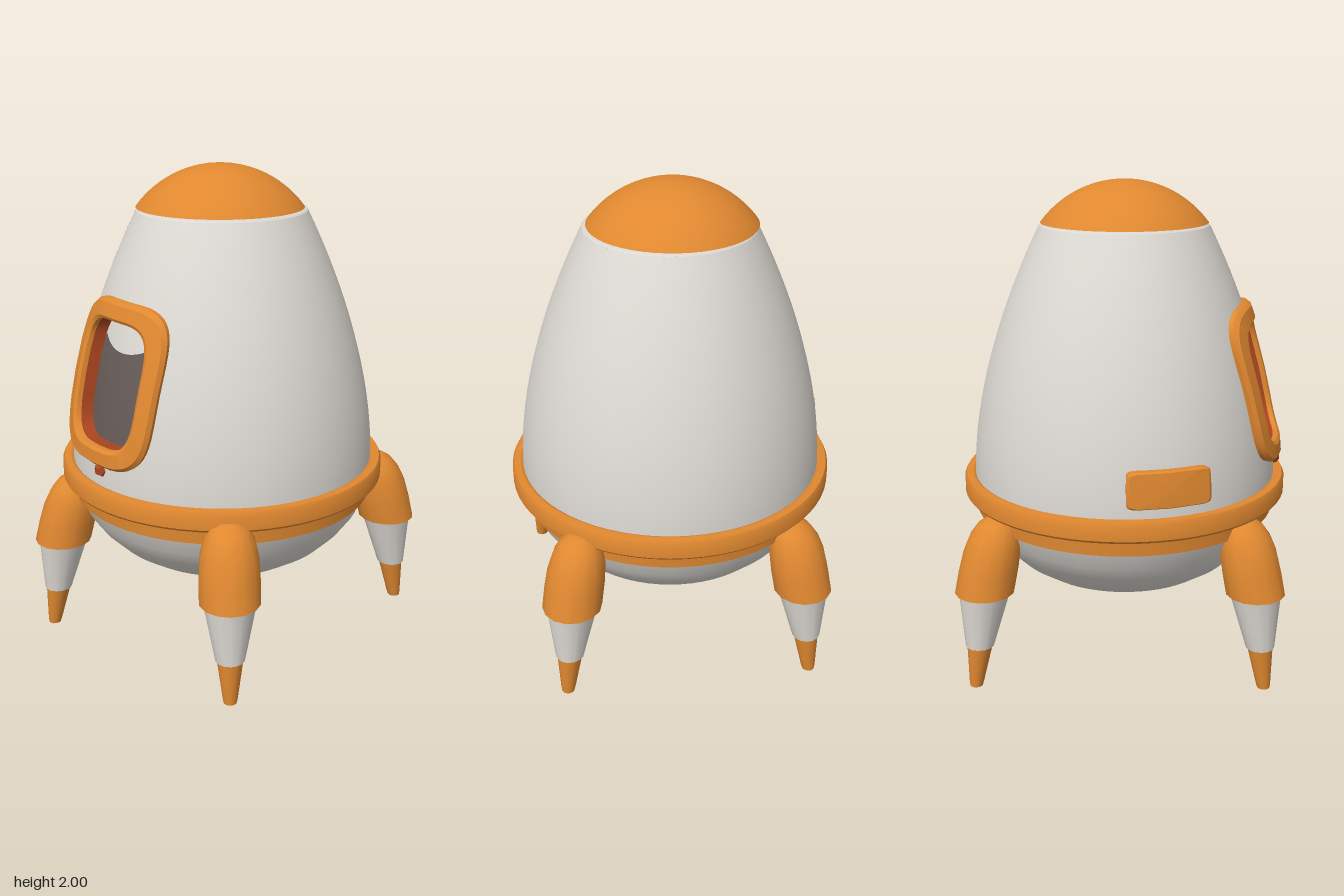
import * as THREE from 'three';
import { toCreasedNormals } from 'three/addons/utils/BufferGeometryUtils.js';

const paint = (name, color) => {
  const m = new THREE.MeshStandardMaterial({ color, side: THREE.DoubleSide });
  m.name = name;
  return m;
};

// Hull radius at height y, and a point on the hull at angle a from the front
const hullRadius = (y) => 0.635 - 0.27 * Math.pow(Math.max(0, y - 0.78), 1.8);
const hullPoint = ([a, y, off = 0]) => {
  const r = hullRadius(y) + off;
  return [r * Math.sin(a), y, r * Math.cos(a)];
};

// Skin rows of [angle, y, offset] into a surface that follows the hull
function hullSkin(rows, closed) {
  const n = rows[0].length, index = [];
  for (let i = 0; i < rows.length - 1; i++) {
    for (let j = 0; j < (closed ? n : n - 1); j++) {
      const k = (j + 1) % n, o = i * n, p = o + n;
      index.push(o + j, o + k, p + k, o + j, p + k, p + j);
    }
  }
  const geo = new THREE.BufferGeometry();
  geo.setAttribute('position', new THREE.Float32BufferAttribute(rows.flat().flatMap(hullPoint), 3));
  geo.setIndex(index);
  geo.computeVertexNormals();
  return geo;
}

const lathe = (points, segments = 64, start = 0, length = Math.PI * 2) =>
  new THREE.LatheGeometry(points.map(([r, y]) => new THREE.Vector2(r, y)), segments, start, length);

// Window layout: centre, half sizes and angle on the hull
const STEPS = 48, WIN = { a: -0.155, y: 1.2, w: 0.185, h: 0.24 };
const LOW = 0.78, HIGH = 1.82, SECTOR = 0.7;
const onHull = (x, y, off) => [WIN.a + Math.asin(x / hullRadius(y)), y, off];
const sgnPow = (v, p) => Math.sign(v) * Math.pow(Math.abs(v), p);

// Rounded rectangle loop, grown outward by g
function windowLoop(g, off) {
  return Array.from({ length: STEPS }, (_, j) => {
    const t = (j / STEPS) * Math.PI * 2;
    return onHull((WIN.w + g) * sgnPow(Math.cos(t), 0.5), WIN.y + (WIN.h + g) * sgnPow(Math.sin(t), 0.5), off);
  });
}

// Hull sector around the window opening
function windowSector() {
  const hole = windowLoop(0, 0);
  const edge = hole.map((_, j) => {
    const t = (j / STEPS) * Math.PI * 2, c = Math.cos(t), s = Math.sin(t);
    const m = Math.max(Math.abs(c), Math.abs(s));
    return [WIN.a + (SECTOR * c) / m, THREE.MathUtils.lerp(LOW, HIGH, (s / m + 1) / 2), 0];
  });
  const rows = [];
  for (let i = 0; i <= 8; i++) {
    rows.push(edge.map((e, j) => e.map((v, k) => THREE.MathUtils.lerp(v, hole[j][k], i / 8))));
  }
  const geo = hullSkin(rows, true);
  rows.flat().forEach(([a, y], i) => {
    const slope = (hullRadius(y + 0.001) - hullRadius(y - 0.001)) / 0.002;
    const n = new THREE.Vector3(Math.sin(a), -slope, Math.cos(a)).normalize();
    geo.attributes.normal.setXYZ(i, n.x, n.y, n.z);
  });
  return geo;
}

// Window pane columns between two height rules
function pane(from, to) {
  const rows = [];
  for (let i = 0; i <= 24; i++) {
    const u = Math.cos((i / 24) * Math.PI);
    const h = WIN.h * Math.pow(Math.max(0, 1 - u ** 4), 0.25);
    const col = [];
    for (let j = 0; j <= 8; j++) {
      col.push(onHull(WIN.w * u, WIN.y + THREE.MathUtils.lerp(from(u, h), to(u, h), j / 8), -0.045));
    }
    rows.push(col);
  }
  return hullSkin(rows, false);
}

export function createModel() {
  const model = new THREE.Group();
  const orange = paint('orange', 0xe08830);
  const white = paint('off white', 0xdedad4);
  const dark = paint('dark grey', 0x665c59);
  const rust = paint('rust red', 0xa8441f);
  const add = (name, geo, mat, parent = model) => {
    const mesh = new THREE.Mesh(geo, mat);
    mesh.name = name;
    parent.add(mesh);
    return mesh;
  };

  // Hull
  const profile = Array.from({ length: 25 }, (_, i) => {
    const y = THREE.MathUtils.lerp(LOW, HIGH, i / 24);
    return [hullRadius(y), y];
  });
  add('hull', lathe(profile, 56, WIN.a + SECTOR, Math.PI * 2 - 2 * SECTOR), white);
  add('hullWindowSector', windowSector(), white);
  add('hullTop', lathe([[hullRadius(HIGH), HIGH], [0.335, 1.83], [0, 1.831]]), white);
  add('bowl', lathe([[0, 0.3], [0.1, 0.305], [0.2, 0.32], [0.3, 0.343], [0.39, 0.377], [0.47, 0.43],
    [0.54, 0.5], [0.59, 0.57], [0.62, 0.65]]), white);

  // Nose dome
  const dome = add('noseDome', new THREE.SphereGeometry(0.425, 48, 12, 0, Math.PI * 2, 0, 0.927), orange);
  dome.position.set(-0.01, 1.575, 0);

  // Waist rings
  add('lowerRing', toCreasedNormals(lathe([[0.6, 0.635], [0.63, 0.64], [0.635, 0.725]]), 0.5), orange);
  add('upperRing', toCreasedNormals(lathe([[0.62, 0.708], [0.672, 0.71], [0.68, 0.72], [0.68, 0.78],
    [0.672, 0.795], [0.645, 0.797], [0.62, 0.785]]), 0.5), orange);

  // Window
  const sections = [[0.075, -0.01], [0.075, 0.02], [0.062, 0.035], [0.012, 0.035], [0, 0.025], [0, 0.005]];
  add('windowFrame', toCreasedNormals(hullSkin(sections.map(([g, o]) => windowLoop(g, o)), true), 0.6), orange);
  add('windowReveal', hullSkin([windowLoop(0, 0.005), windowLoop(0, -0.045)], true), rust);
  const split = (u, h) => Math.min(h, 0.11 + 0.05 * u * u);
  add('windowPane', pane((u, h) => -h, split), dark);
  add('windowUpperPane', pane(split, (u, h) => h), white);

  // Latch under the window
  const latch = add('latch', new THREE.DodecahedronGeometry(0.03), rust);
  latch.position.set(-0.08, 0.86, 0.625);

  // Raised side plate
  const plateRow = (scale, off) => Array.from({ length: 32 }, (_, j) => {
    const t = (j / 32) * Math.PI * 2;
    return [-1.29 + 0.26 * scale * sgnPow(Math.cos(t), 0.2), 0.91 + 0.072 * scale * sgnPow(Math.sin(t), 0.2), off];
  });
  add('sidePlate', toCreasedNormals(hullSkin([plateRow(1, -0.01), plateRow(1, 0.025), plateRow(0.93, 0.032),
    plateRow(0.5, 0.032), plateRow(0, 0.032)], true), 0.5), orange);

  // Legs: turned profiles leaning in toward the hull
  const legParts = [
    ['legFoot', orange, [[0, 0], [0.026, 0.005], [0.03, 0.025], [0.052, 0.18]]],
    ['legShin', white, [[0.05, 0.175], [0.058, 0.18], [0.104, 0.41]]],
    ['legThigh', orange, [[0.1, 0.405], [0.12, 0.41], [0.12, 0.5], [0.115, 0.58], [0.1, 0.64],
      [0.075, 0.685], [0.04, 0.708], [0, 0.715]]],
  ];
  const legs = [['frontRightLeg', -0.45, 0.53, 0], ['frontLeftLeg', 0.505, 0.525, 0.04],
    ['backLeftLeg', 0.505, -0.535, 0.04], ['backRightLeg', -0.45, -0.555, 0]];
  for (const [name, x, z, lift] of legs) {
    const leg = new THREE.Group();
    leg.name = name;
    leg.position.set(x, lift, z);
    leg.rotation.y = Math.atan2(x, z);
    for (const [part, mat, points] of legParts) {
      const geo = lathe(points, 14);
      const pos = geo.attributes.position;
      for (let i = 0; i < pos.count; i++) {
        const up = pos.getY(i) - 0.41;
        pos.setZ(i, pos.getZ(i) - 0.14 * up - 0.1 * Math.max(0, up));
      }
      add(part, toCreasedNormals(geo, 0.7), mat, leg);
    }
    model.add(leg);
  }
  return model;
}
